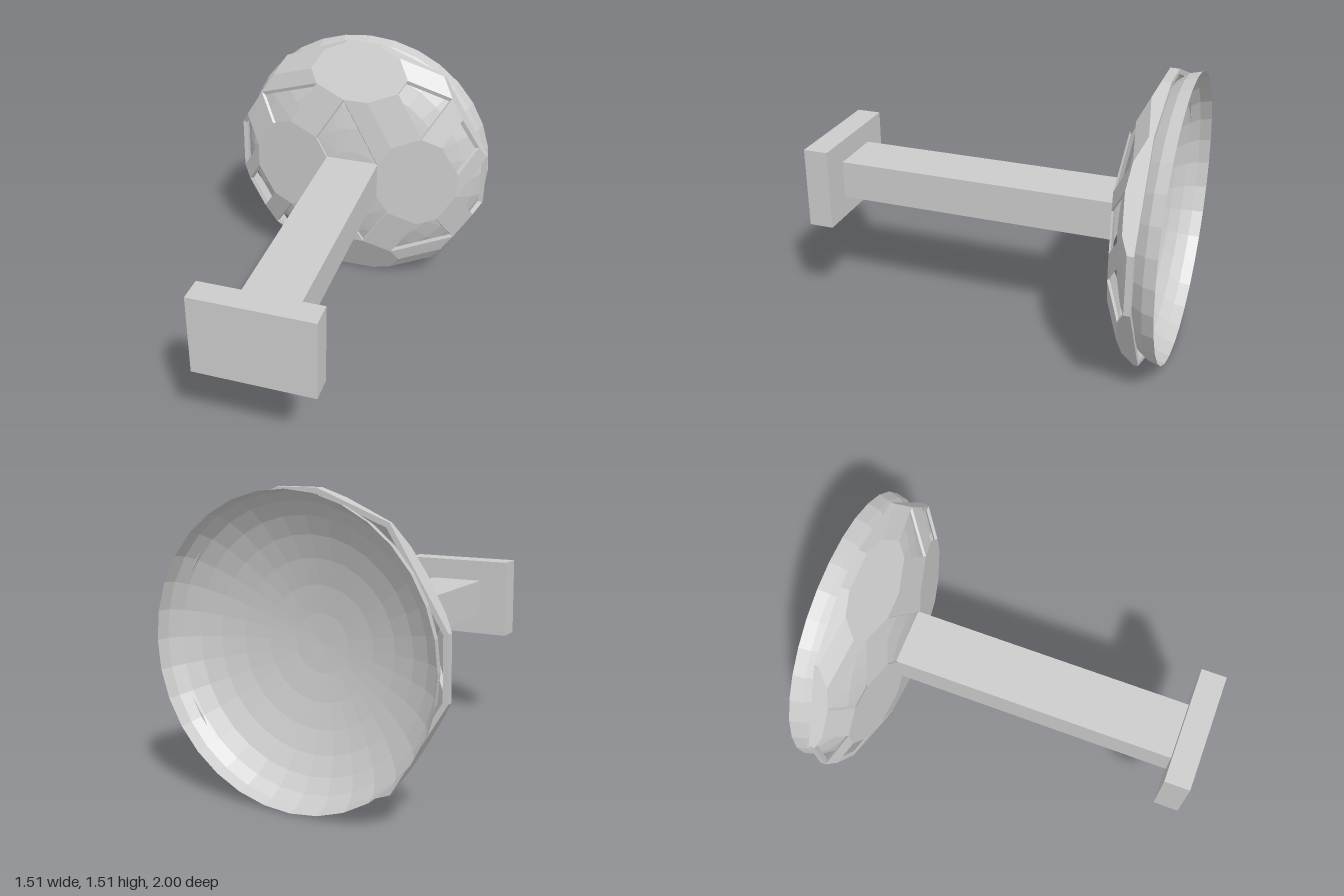
import * as THREE from 'three';

const PHI = (1 + Math.sqrt(5)) / 2;
const CENTRE_Y = 0.76, SHELL_BACK = -0.895, FLATTEN = 0.31, THICKNESS = 0.965;
const V = (x, y, z) => new THREE.Vector3(x, y, z);

const material = () => new THREE.MeshStandardMaterial({ color: 0xcccccc, flatShading: true, side: THREE.DoubleSide });

// All cyclic orders and sign changes of one vector, without repeats
function images(v) {
  const out = [];
  for (const [x, y, z] of [[v.x, v.y, v.z], [v.y, v.z, v.x], [v.z, v.x, v.y]])
    for (const a of [1, -1]) for (const b of [1, -1]) for (const c of [1, -1]) {
      const p = V(a * x, b * y, c * z);
      if (!out.some(q => q.distanceTo(p) < 1e-4)) out.push(p);
    }
  return out;
}

// Corners of the face that looks along an axis, counter-clockwise from outside
function faceAlong(axis, points) {
  const n = axis.clone().normalize();
  const far = Math.max(...points.map(p => p.dot(n)));
  const u = V(0.31, 0.52, -0.77).cross(n).normalize();
  const w = n.clone().cross(u);
  const angle = p => Math.atan2(p.dot(w), p.dot(u));
  return points.filter(p => p.dot(n) > far - 1e-3).sort((a, b) => angle(a) - angle(b));
}

// Faceted half shell of decagons, rectangles and hexagons, with open panels
function shellGeometry() {
  const corners = [];
  const turnAxis = V(1, 0, PHI).normalize();
  for (const p of images(V(0.155, 0.105, 0.757)))
    for (let k = 0; k < 5; k++) corners.push(p.clone().applyAxisAngle(turnAxis, k * Math.PI * 0.4));

  const front = list => list.flatMap(images).filter(n => n.z > -1e-3);
  const panels = [];

  for (const n of front([V(1, 0, PHI)])) panels.push(faceAlong(n, corners));

  // Rectangles: two opposite ones are open
  const openPanels = [];
  for (const n of front([V(0, 0, 1), V(1, PHI, PHI * PHI)])) {
    const open = Math.abs(n.x) > 2 && n.x * n.y > 0.5 && n.z > 0.5;
    (open ? openPanels : panels).push(faceAlong(n, corners));
  }

  // Hexagons: the front ones are half filled, starting at these corners
  const starts = [[0.155, 0.105], [0.4, 0.29], [-0.25, 0.53], [0.757, 0.155]]
    .flatMap(([x, y]) => [[x, y], [-x, -y]]);
  for (const n of front([V(1, 1, 1), V(0, 1 / PHI, PHI)])) {
    const face = faceAlong(n, corners);
    const first = n.z < 0.1 ? -1 : face.findIndex(p =>
      starts.some(([x, y]) => Math.hypot(p.x - x, p.y - y) < 0.03));
    if (first < 0) { panels.push(face); continue; }
    const h = face.map((_, i) => face[(first + i) % 6]);
    panels.push(h.slice(0, 4));
    openPanels.push([h[3], h[4], h[5], h[0]]);
  }

  const pos = [];
  const place = (p, s) => V(p.x * s, CENTRE_Y + p.y * s, SHELL_BACK + FLATTEN * Math.max(p.z, 0) * s);
  const tri = (a, b, c) => {
    const area = b.clone().sub(a).cross(c.clone().sub(a)).length();
    if (area > 1e-7) for (const p of [a, b, c]) pos.push(p.x, p.y, p.z);
  };
  const wall = (a, b) => {
    const [A, B, C, D] = [place(a, 1), place(b, 1), place(b, THICKNESS), place(a, THICKNESS)];
    tri(A, D, C);
    tri(A, C, B);
  };
  for (const face of panels) {
    const outer = face.map(p => place(p, 1)), inner = face.map(p => place(p, THICKNESS));
    for (let i = 1; i < face.length - 1; i++) {
      tri(outer[0], outer[i], outer[i + 1]);
      tri(inner[0], inner[i + 1], inner[i]);
    }
    // Back rim
    face.forEach((p, i) => {
      const q = face[(i + 1) % face.length];
      if (p.z < 1e-4 && q.z < 1e-4) wall(p, q);
    });
  }
  // Thickness around the openings
  for (const face of openPanels) face.forEach((p, i) => wall(p, face[(i + 1) % face.length]));

  const g = new THREE.BufferGeometry();
  g.setAttribute('position', new THREE.Float32BufferAttribute(pos, 3));
  g.computeVertexNormals();
  return g;
}

export function createModel() {
  const group = new THREE.Group();
  const add = (name, geometry, x = 0, y = 0, z = 0) => {
    const mesh = new THREE.Mesh(geometry, material());
    mesh.name = name;
    mesh.position.set(x, y, z);
    group.add(mesh);
  };

  // Wall plate and post
  add('endPlate', new THREE.BoxGeometry(0.64, 0.445, 0.135), 0, 0.7625, 0.9325);
  add('post', new THREE.BoxGeometry(0.31, 0.21, 1.535), 0, CENTRE_Y, 0.0975);

  // Outer faceted shell
  add('facetedShell', shellGeometry());

  // Shallow bowl, open to the back
  const bowl = new THREE.SphereGeometry(1, 32, 8, 0, Math.PI * 2, 0, Math.PI / 2);
  bowl.rotateX(Math.PI / 2);
  bowl.scale(0.755, 0.755, 0.31);
  add('bowl', bowl, 0, CENTRE_Y, -1);

  return group;
}
